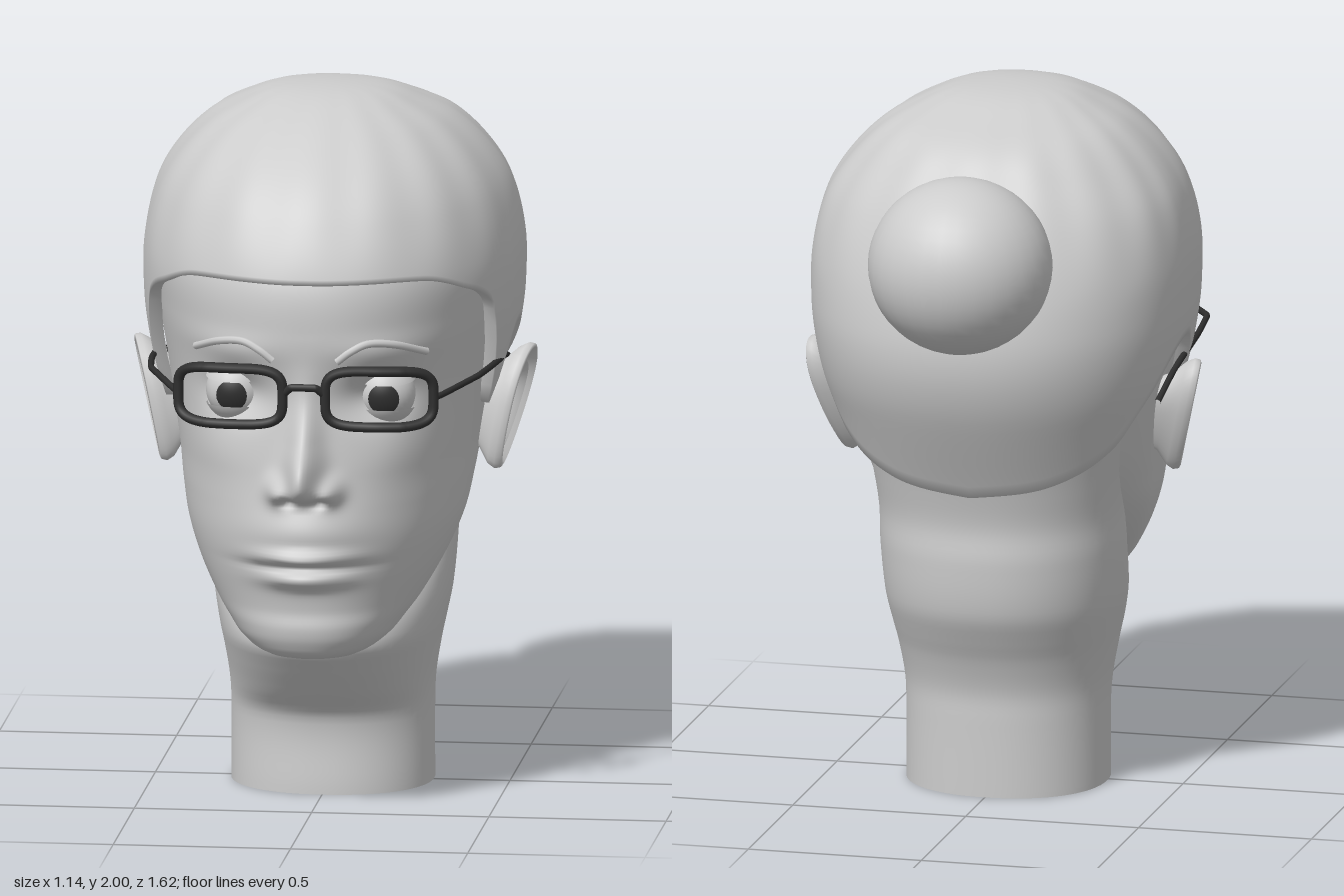
import * as THREE from 'three';

const grey = new THREE.MeshStandardMaterial({ color: 0xcccccc, side: THREE.DoubleSide });
grey.name = 'light grey';
const dark = new THREE.MeshStandardMaterial({ color: 0x2e2e2e });
dark.name = 'dark grey';

// Smooth lookup: rows are [key, value, value, ...] with rising keys
function lookup(rows, key) {
  const n = rows.length - 1;
  const k = Math.min(Math.max(key, rows[0][0]), rows[n][0]);
  let i = 0;
  while (i < n - 1 && k > rows[i + 1][0]) i++;
  const a = rows[i], b = rows[i + 1], h = b[0] - a[0], t = (k - a[0]) / h;
  const p = rows[Math.max(i - 1, 0)], q = rows[Math.min(i + 2, n)];
  return a.map((v, c) => {
    const m0 = (b[c] - p[c]) / (b[0] - p[0]) * h, m1 = (q[c] - v) / (q[0] - a[0]) * h;
    const t2 = t * t, t3 = t2 * t;
    return (2 * t3 - 3 * t2 + 1) * v + (t3 - 2 * t2 + t) * m0 + (3 * t2 - 2 * t3) * b[c] + (t3 - t2) * m1;
  });
}

// Surface closed around its columns; point(row 0..1, angle -PI..PI) gives [x, y, z]
function loft(rows, cols, point) {
  const pos = [], idx = [];
  for (let i = 0; i <= rows; i++) {
    for (let j = 0; j < cols; j++) {
      pos.push(...point(i / rows, (j / cols * 2 - 1) * Math.PI, i));
      if (i === rows) continue;
      const a = i * cols + j, b = i * cols + (j + 1) % cols;
      idx.push(a, b, b + cols, a, b + cols, a + cols);
    }
  }
  const g = new THREE.BufferGeometry();
  g.setAttribute('position', new THREE.Float32BufferAttribute(pos, 3));
  g.setIndex(idx);
  g.computeVertexNormals();
  return g;
}

const POWER = 0.92;
const curve = v => Math.sign(v) * Math.abs(v) ** POWER;
// Slightly squared oval: half width, front z, back z, widest z
function oval([, w, front, back, mid], a) {
  const c = Math.cos(a);
  return [w * curve(Math.sin(a)), mid + (c > 0 ? front - mid : mid - back) * curve(c)];
}

// Keys: height, half width, front z, back z, widest z
const FACE = [
  [0.44, 0.02, 0.50, 0.44, 0.47], [0.46, 0.13, 0.595, 0.33, 0.45], [0.5, 0.205, 0.635, 0.2, 0.38],
  [0.55, 0.25, 0.65, 0.12, 0.32], [0.6, 0.288, 0.645, 0.05, 0.27], [0.7, 0.345, 0.665, -0.1, 0.18],
  [0.8, 0.385, 0.685, -0.2, 0.1], [0.9, 0.405, 0.685, -0.3, 0.05], [1.0, 0.42, 0.675, -0.35, 0],
  [1.2, 0.455, 0.655, -0.4, -0.05], [1.4, 0.49, 0.678, -0.5, -0.08], [1.55, 0.5, 0.66, -0.54, -0.08],
  [1.7, 0.45, 0.56, -0.46, -0.08],
];
const NECK = [
  [0, 0.285, 0.255, -0.285, -0.015], [0.22, 0.285, 0.256, -0.285, -0.015], [0.3, 0.288, 0.33, -0.288, -0.02],
  [0.4, 0.303, 0.42, -0.32, -0.03], [0.46, 0.315, 0.46, -0.35, -0.04], [0.55, 0.332, 0.4, -0.39, -0.05],
  [0.7, 0.345, 0.2, -0.405, -0.06], [0.8, 0.345, 0.15, -0.4, -0.08], [0.9, 0.355, 0.1, -0.42, -0.1],
  [1.0, 0.375, 0.05, -0.45, -0.1], [1.2, 0.42, 0.05, -0.52, -0.1],
];
// Hair is keyed by distance from the crown so the dome closes smoothly
const HAIR = [
  [2.0, 0, 0.04, 0.04, 0.04], [1.99, 0.14, 0.165, -0.1, 0.02], [1.95, 0.25, 0.3, -0.24, -0.01],
  [1.9, 0.34, 0.4, -0.365, -0.04], [1.8, 0.44, 0.535, -0.46, -0.06], [1.7, 0.497, 0.615, -0.52, -0.08],
  [1.55, 0.53, 0.682, -0.585, -0.08], [1.4, 0.53, 0.695, -0.62, -0.08], [1.3, 0.518, 0.69, -0.62, -0.08],
  [1.2, 0.497, 0.68, -0.595, -0.08], [1.1, 0.465, 0.68, -0.55, -0.08], [0.9, 0.41, 0.68, -0.45, -0.08],
].map(([y, ...r]) => [Math.sqrt(2 - y), ...r]);
// Hairline height by angle from the front
const HAIRLINE = [
  [0, 1.545], [0.62, 1.54], [0.87, 1.5], [1.12, 1.43], [1.19, 1.33], [1.33, 1.1], [1.41, 1.25],
  [1.5, 1.31], [1.7, 1.28], [1.9, 1.18], [2.13, 1.05], [2.6, 0.95], [Math.PI, 0.91],
];
// Nose: height, projection, spread
const NOSE = [
  [0.9, 0, 0.06], [0.925, 0.02, 0.06], [0.945, 0.09, 0.056], [0.98, 0.133, 0.05], [1.03, 0.13, 0.046],
  [1.1, 0.075, 0.042], [1.2, 0.026, 0.04], [1.3, 0.006, 0.045], [1.4, 0, 0.05],
];

const bump = (x, y, cx, cy, sx, sy) => Math.exp(-(((x - cx) / sx) ** 2) - ((y - cy) / sy) ** 2);
// Relief of nose, mouth, sockets and cheeks
function relief(x, y) {
  const ax = Math.abs(x), [, nose, spread] = lookup(NOSE, y);
  return nose * Math.exp(-((x / spread) ** 2))
    + 0.05 * bump(ax, y, 0.075, 0.957, 0.032, 0.036)
    - 0.03 * bump(ax, y, 0.045, 0.925, 0.022, 0.012)
    + 0.03 * bump(x, y, 0, 0.83, 0.15, 0.07)
    + 0.05 * bump(x, y, 0, 0.765, 0.12, 0.024)
    + 0.042 * bump(x, y, 0, 0.7, 0.11, 0.026)
    - 0.02 * bump(x, y, 0, 0.735, 0.14, 0.009)
    - 0.055 * bump(ax, y, 0.195, 1.215, 0.085, 0.062)
    + 0.012 * bump(ax, y, 0.22, 1.35, 0.13, 0.04)
    + 0.015 * bump(ax, y, 0.27, 1.05, 0.1, 0.09);
}
function faceZ(x, y) {
  const s = lookup(FACE, y);
  return oval(s, Math.asin((Math.abs(x) / s[1]) ** (1 / POWER)))[1] + relief(x, y);
}

function add(parent, name, geometry, material) {
  const mesh = new THREE.Mesh(geometry, material);
  mesh.name = name;
  parent.add(mesh);
  return mesh;
}
function tube(points, radius, closed = false, tension = 0.5, segments = 48) {
  const path = new THREE.CatmullRomCurve3(points.map(p => new THREE.Vector3(...p)), closed, 'catmullrom', tension);
  return new THREE.TubeGeometry(path, segments, radius, 8, closed);
}

// Ear: rings from the hollow over the rim to the back; [scale, outward offset]
const EAR_RINGS = [[0, -0.005], [0.35, -0.005], [0.55, 0.012], [0.66, 0.04], [0.74, 0.03], [0.84, 0.032],
  [0.92, 0.052], [0.98, 0.048], [1, 0.032], [0.93, 0.01], [0.7, -0.025], [0.55, -0.09]];
function earGeometry() {
  return loft(EAR_RINGS.length - 1, 40, (t, a, i) => {
    const [s, out] = EAR_RINGS[i], up = Math.cos(a);
    const y = 1.085 + s * up * (up > 0 ? 0.16 : 0.185);
    const width = 0.078 + 0.022 * up;
    const z = -0.005 - s * Math.sin(a) * width - (y - 1.07) * 0.24;
    return [0.425 + 0.2 * (y - 0.9) + 0.2 * (0.06 - z) + out, y, z];
  });
}

// One side: eye, lids, brow, ear, spectacle rim and temple
function side() {
  const g = new THREE.Group();
  const eye = new THREE.Group();
  eye.name = 'eye';
  eye.position.set(0.21, 1.212, 0.517);
  eye.rotation.y = 0.06;
  g.add(eye);
  add(eye, 'eyeball', new THREE.SphereGeometry(0.085, 32, 24), grey);
  add(eye, 'iris', new THREE.SphereGeometry(0.088, 24, 6, 0, Math.PI * 2, 0, 0.52), dark).rotation.x = Math.PI / 2 + 0.06;
  const upper = add(eye, 'upperLid', new THREE.SphereGeometry(0.094, 32, 12, 0, Math.PI * 2, 0, 1.12), grey);
  upper.rotation.x = 0.08;
  const lower = add(eye, 'lowerLid', new THREE.SphereGeometry(0.092, 32, 12, 0, Math.PI * 2, 2.0, Math.PI - 2.0), grey);
  lower.rotation.x = -0.02;

  const brow = [[0.09, 1.325], [0.13, 1.355], [0.18, 1.375], [0.25, 1.365], [0.325, 1.33]];
  add(g, 'brow', tube(brow.map(([x, y]) => [x, y, faceZ(x, y)]), 0.011), grey);
  add(g, 'ear', earGeometry(), grey);

  const rim = [];
  for (let i = 0; i < 48; i++) {
    const a = i / 48 * Math.PI * 2, c = Math.cos(a), s = Math.sin(a);
    const x = 0.21 + 0.15 * Math.sign(c) * Math.abs(c) ** 0.5;
    const y = 1.225 + 0.08 * Math.sign(s) * Math.abs(s) ** 0.5;
    rim.push([x, y, 0.685 - 2 * Math.max(0, x - 0.2) ** 2]);
  }
  add(g, 'spectacleRim', tube(rim, 0.0145, true, 0.5, 96), dark);
  add(g, 'temple', tube([[0.36, 1.222, 0.635], [0.385, 1.226, 0.58], [0.462, 1.246, 0.42], [0.48, 1.24, 0.25],
    [0.488, 1.22, 0], [0.485, 1.2, -0.08], [0.475, 1.152, -0.19]], 0.009, false, 0.1), dark);
  return g;
}

export function createModel() {
  const model = new THREE.Group();
  model.name = 'head';

  // Face, with columns crowded towards the front
  add(model, 'face', loft(126, 144, (t, a) => {
    const y = 0.44 + 1.26 * t, k = a / Math.PI;
    const angle = Math.PI * (0.45 * k + 0.55 * k ** 3);
    const [x, z] = oval(lookup(FACE, y), angle);
    return [x, y, z + (Math.cos(angle) > 0 ? relief(x, y) * Math.min(1, Math.cos(angle) * 3) : 0)];
  }), grey);

  // Neck, open at the base
  add(model, 'neck', loft(60, 64, (t, a) => {
    const y = 1.2 * t, [x, z] = oval(lookup(NECK, y), a);
    return [x, y, z];
  }), grey);

  // Hair cap with a turned-in edge and fine pleats from the crown
  add(model, 'hair', loft(61, 192, (t, a, i) => {
    const bottom = Math.sqrt(2 - lookup(HAIRLINE, Math.abs(a))[1]);
    const u = bottom * (1 - Math.max(0, i - 1) / 60);
    const s = lookup(HAIR, u), [x, z] = oval(s, a);
    const pleat = 1 + 0.008 * Math.cos(a * 16) * Math.sin(Math.PI * Math.min(1, u / 0.7));
    const k = (i === 0 ? 0.93 : 1) * pleat;
    return [x * k, 2 - u * u, s[4] + (z - s[4]) * k];
  }), grey);

  // Bun
  const bun = add(model, 'bun', new THREE.SphereGeometry(0.25, 32, 24), grey);
  bun.position.set(0, 1.61, -0.56);
  bun.scale.set(1.04, 1, 1);

  // Spectacle bridge
  add(model, 'spectacleBridge', tube([[-0.06, 1.232, 0.685], [-0.035, 1.255, 0.695], [0.035, 1.255, 0.695],
    [0.06, 1.232, 0.685]], 0.011, false, 0.1), dark);

  // Mirrored sides
  const left = side(), right = side();
  left.name = 'leftSide';
  right.name = 'rightSide';
  right.scale.x = -1;
  model.add(left, right);
  return model;
}
